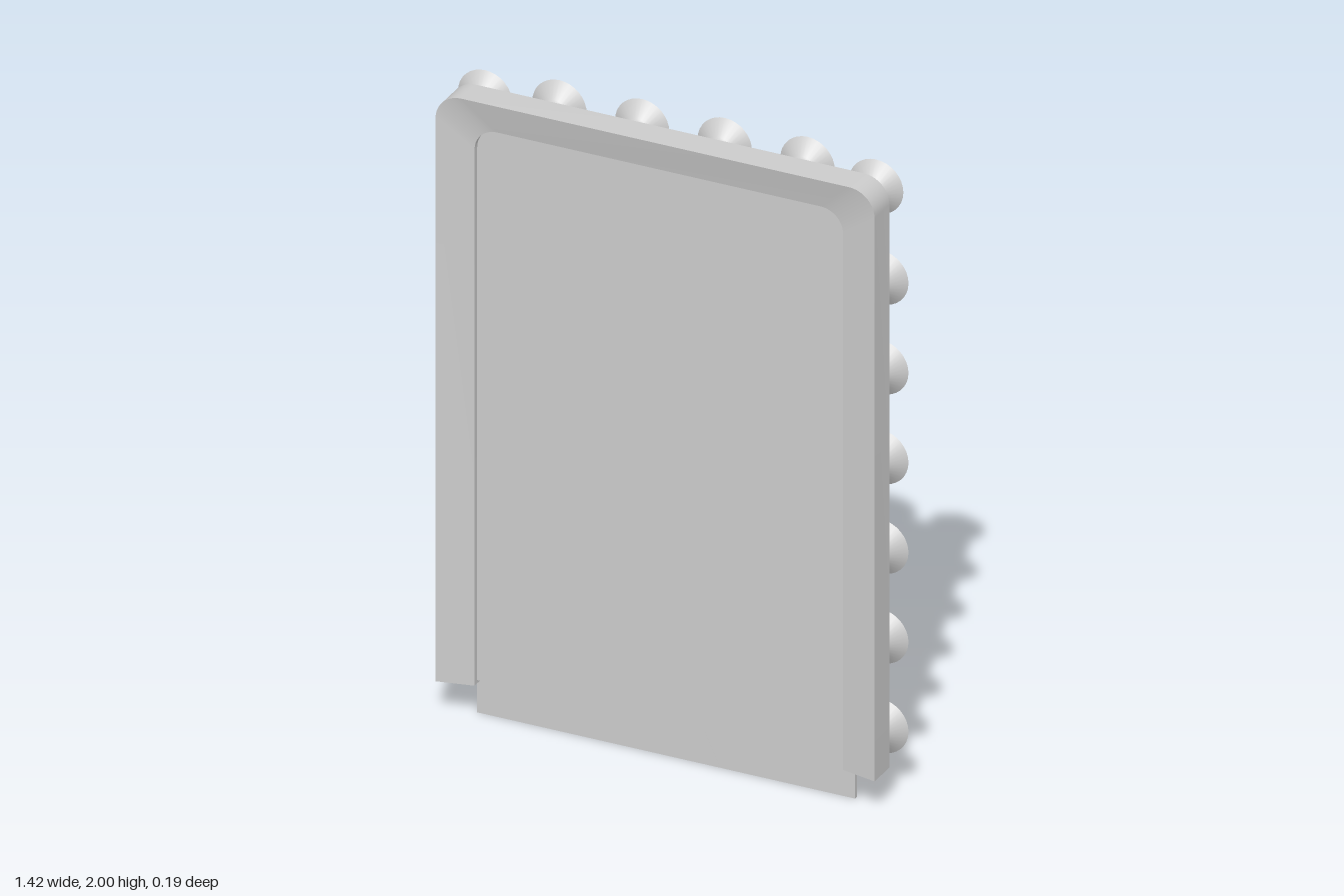
import * as THREE from 'three';
import { toCreasedNormals } from 'three/addons/utils/BufferGeometryUtils.js';

const grey = new THREE.MeshStandardMaterial({ color: 0xcccccc });
const greyDouble = new THREE.MeshStandardMaterial({ color: 0xcccccc, side: THREE.DoubleSide });

function add(parent, name, geometry, material = grey) {
  const mesh = new THREE.Mesh(geometry, material);
  mesh.name = name;
  parent.add(mesh);
  return mesh;
}

// Arch outline from bottom right, over two rounded corners, to bottom left
function archPoints(halfWidth, bottom, top, radius, steps = 10) {
  const pts = [[halfWidth, bottom]];
  for (const [side, start] of [[1, 0], [-1, Math.PI / 2]]) {
    for (let i = 0; i <= steps; i++) {
      const a = start + (i / steps) * Math.PI / 2;
      pts.push([side * (halfWidth - radius) + radius * Math.cos(a), top - radius + radius * Math.sin(a)]);
    }
  }
  pts.push([-halfWidth, bottom]);
  return pts;
}

// Frame with its front face sloping in towards the opening
function frameGeometry() {
  const outer = archPoints(0.685, 0.108, 1.965, 0.08);
  const inner = archPoints(0.575, 0.108, 1.87, 0.07);
  const pos = [], idx = [];
  outer.forEach((o, i) => {
    const n = inner[i];
    pos.push(...o, 0.002, ...o, 0.096, ...n, 0.072, ...n, 0.002);
  });
  for (let i = 0; i < outer.length - 1; i++) {
    for (let k = 0; k < 4; k++) {
      const a = i * 4 + k, b = i * 4 + (k + 1) % 4;
      idx.push(a, a + 4, b + 4, a, b + 4, b);
    }
  }
  const e = (outer.length - 1) * 4;
  idx.push(0, 1, 2, 0, 2, 3, e, e + 2, e + 1, e, e + 3, e + 2);
  const g = new THREE.BufferGeometry();
  g.setAttribute('position', new THREE.Float32BufferAttribute(pos, 3));
  g.setIndex(idx);
  return toCreasedNormals(g, 0.5);
}

function slab(points, depth, z) {
  const shape = new THREE.Shape(points.map(([x, y]) => new THREE.Vector2(x, y)));
  return new THREE.ExtrudeGeometry(shape, { depth, bevelEnabled: false }).translate(0, 0, z);
}

// Backing panel broken into shards: corner points, then shards by letter
const corner = {
  a: [0.59, 1.785], b: [-0.59, 1.785], c: [-0.59, 1.67], d: [-0.07, 1.28], e: [0.59, 1.27],
  f: [-0.21, 0.955], g: [0.18, 0.955], h: [0.59, 1.17], i: [-0.59, 0.44], j: [-0.49, 0.455],
  k: [-0.05, 0.69], l: [0.32, 0.7], m: [0.59, 0.83], n: [0.015, 0.33], o: [0.27, 0.31],
  p: [0.59, 0.65], q: [0.59, 0.13], r: [0.17, 0], s: [0.59, 0], t: [-0.59, 0],
};
const shards = ['abcde', 'dcijf', 'edfgh', 'gfjk', 'hgklm', 'kjnl', 'mlnop', 'poq', 'qonrs', 'njitr'];

function addShards(parent) {
  for (const letters of shards) {
    const pts = [...letters].map((c) => corner[c]);
    const cx = pts.reduce((s, p) => s + p[0], 0) / pts.length;
    const cy = pts.reduce((s, p) => s + p[1], 0) / pts.length;
    // hairline gap on the inner edges only
    const shrunk = pts.map(([x, y]) => [
      Math.abs(x) === 0.59 ? x : cx + (x - cx) * 0.998,
      y === 0 || y === 1.785 ? y : cy + (y - cy) * 0.998,
    ]);
    add(parent, 'panelShard', slab(shrunk, 0.013, 0.014));
  }
}

// Lamp: flared reflector with a round bulb, opening to the back
const reflectorProfile = [[0.018, 0], [0.03, 0.008], [0.036, 0.02], [0.04, 0.03], [0.085, 0.066]]
  .map(([r, h]) => new THREE.Vector2(r, h));
const reflectorGeometry = new THREE.LatheGeometry(reflectorProfile, 32).rotateX(-Math.PI / 2);
const bulbGeometry = new THREE.SphereGeometry(0.039, 24, 16);

function addLamp(parent, x, y) {
  const lamp = new THREE.Group();
  lamp.name = 'lamp';
  add(lamp, 'reflector', reflectorGeometry, greyDouble);
  add(lamp, 'bulb', bulbGeometry).position.z = -0.056;
  lamp.position.set(x, y, 0);
  parent.add(lamp);
}

export function createModel() {
  const model = new THREE.Group();
  model.name = 'lightedMirror';

  add(model, 'frame', frameGeometry());
  add(model, 'mirrorGlass', toCreasedNormals(slab(archPoints(0.575, 0.118, 1.87, 0.07), 0.006, 0.049), 0.5));

  const panel = new THREE.Group();
  panel.name = 'backPanel';
  addShards(panel);
  model.add(panel);

  // Lamps up both sides, at the corners and along the top
  const lamps = new THREE.Group();
  lamps.name = 'lamps';
  for (const side of [-1, 1]) {
    for (let i = 0; i < 6; i++) addLamp(lamps, side * 0.626, 0.195 + i * 0.283);
    addLamp(lamps, side * 0.61, 1.893);
  }
  for (let i = 0; i < 4; i++) addLamp(lamps, -0.378 + i * 0.258, 1.915);
  model.add(lamps);

  return model;
}
